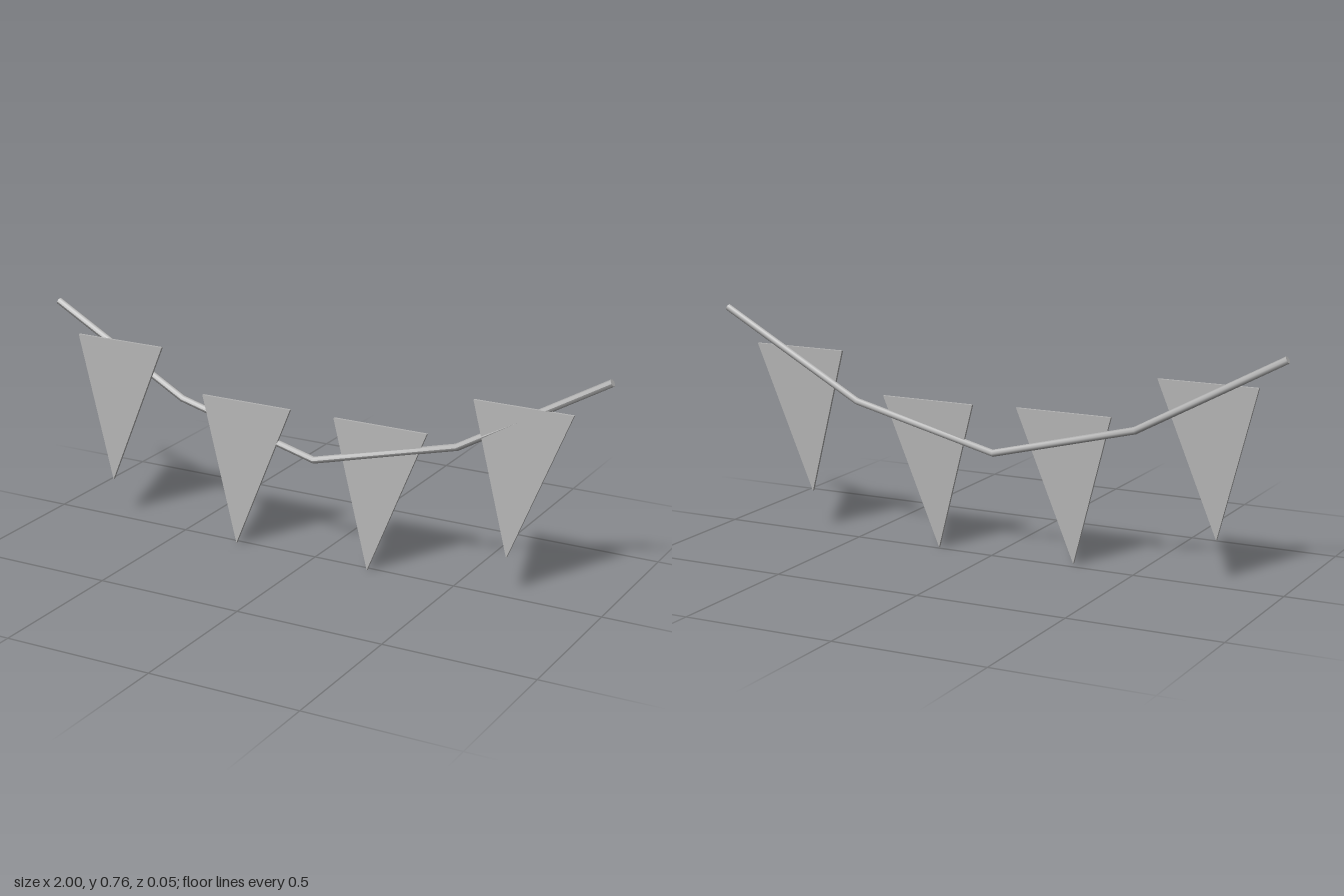
import * as THREE from 'three';

const ROPE_RADIUS = 0.012;
const FLAG_DEPTH = 0.009;

// Sagging cord: a cylinder whose rings are moved onto a mitred polyline
function ropeGeometry() {
  const points = [
    [-0.994, 0.741, -0.013], [-0.5, 0.474, -0.001], [0, 0.347, 0.009],
    [0.5, 0.473, -0.001], [0.994, 0.754, -0.014],
  ].map((p) => new THREE.Vector3(...p));
  const last = points.length - 1;
  const geometry = new THREE.CylinderGeometry(ROPE_RADIUS, ROPE_RADIUS, 1, 8, last);
  geometry.rotateZ(-Math.PI / 2);
  const pos = geometry.attributes.position;
  for (let v = 0; v < pos.count; v++) {
    const i = Math.round((pos.getX(v) + 0.5) * last);
    const before = points[Math.max(i - 1, 0)];
    const after = points[Math.min(i + 1, last)];
    const t = after.clone().sub(before).normalize();
    const h = pos.getY(v);
    pos.setXYZ(v, points[i].x - t.y * h, points[i].y + t.x * h, points[i].z + pos.getZ(v));
  }
  geometry.computeVertexNormals();
  return geometry;
}

// Triangular pennant; its tip sits slightly off centre
function flagGeometry() {
  const shape = new THREE.Shape();
  shape.moveTo(-0.165, 0);
  shape.lineTo(-0.035, -0.494);
  shape.lineTo(0.165, 0);
  shape.closePath();
  const geometry = new THREE.ExtrudeGeometry(shape, { depth: FLAG_DEPTH, bevelEnabled: false });
  geometry.translate(0, 0, -FLAG_DEPTH / 2);
  return geometry;
}

export function createModel() {
  const model = new THREE.Group();
  model.name = 'bunting';
  const grey = new THREE.MeshStandardMaterial({ color: 0xb4b4b4 });
  grey.name = 'grey';

  const rope = new THREE.Mesh(ropeGeometry(), grey);
  rope.name = 'rope';
  model.add(rope);

  // Top centre of each pennant, all leaning gently forward at the tip
  const flag = flagGeometry();
  const places = [
    [-0.735, 0.643, 0.009], [-0.249, 0.505, 0.011],
    [0.235, 0.501, 0.003], [0.719, 0.638, 0],
  ];
  places.forEach((place, i) => {
    const mesh = new THREE.Mesh(flag, grey);
    mesh.name = `flag${i + 1}`;
    mesh.position.set(...place);
    mesh.rotation.x = -0.024;
    model.add(mesh);
  });
  return model;
}
